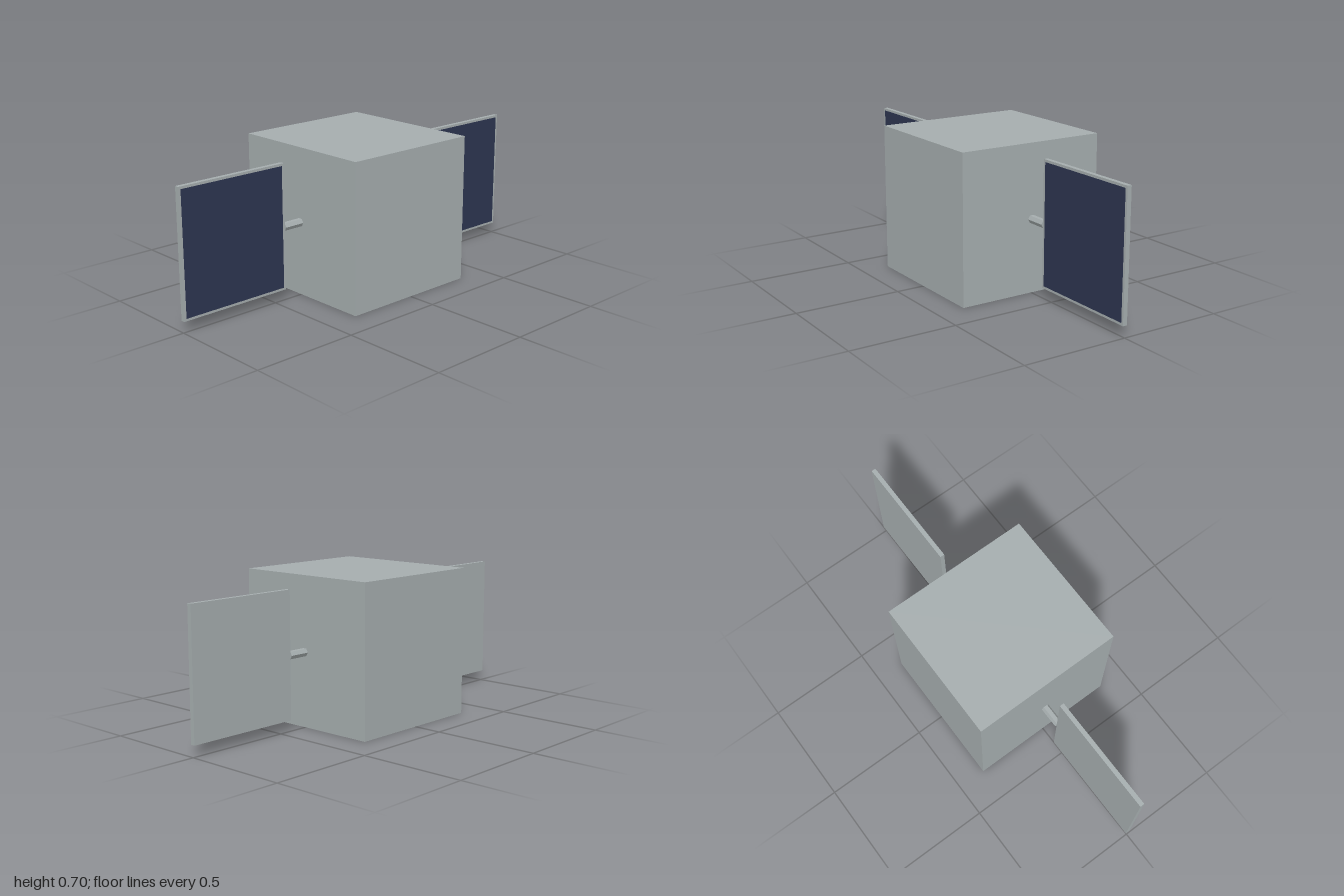
import * as THREE from 'three';

const grey = new THREE.MeshStandardMaterial({ color: 0xa5adae, flatShading: true });
grey.name = 'hull grey';
const navy = new THREE.MeshStandardMaterial({ color: 0x2d3550, flatShading: true });
navy.name = 'solar cell navy';

const MID_Y = 0.3485;

function addMesh(parent, name, geometry, material, x, y, z) {
  const mesh = new THREE.Mesh(geometry, material);
  mesh.name = name;
  mesh.position.set(x, y, z);
  parent.add(mesh);
  return mesh;
}

// One wing: hexagonal strut, thin panel, and solar cells on the front only
function createWing(side) {
  const wing = new THREE.Group();
  wing.name = side > 0 ? 'leftWing' : 'rightWing';

  const strut = new THREE.CylinderGeometry(0.0195, 0.0195, 0.11, 6).rotateZ(Math.PI / 2);
  addMesh(wing, 'strut', strut, grey, side * 0.39, MID_Y, 0);

  const panelX = side * 0.7225;
  addMesh(wing, 'panelFrame', new THREE.BoxGeometry(0.555, 0.59, 0.021), grey, panelX, MID_Y, 0);
  addMesh(wing, 'solarCells', new THREE.BoxGeometry(0.532, 0.567, 0.002), navy, panelX, MID_Y, 0.0105);
  return wing;
}

export function createModel() {
  const model = new THREE.Group();
  model.name = 'satellite';

  // Plain box hull
  addMesh(model, 'body', new THREE.BoxGeometry(0.69, 0.697, 0.726), grey, 0, MID_Y, 0);

  for (const side of [1, -1]) model.add(createWing(side));
  return model;
}
